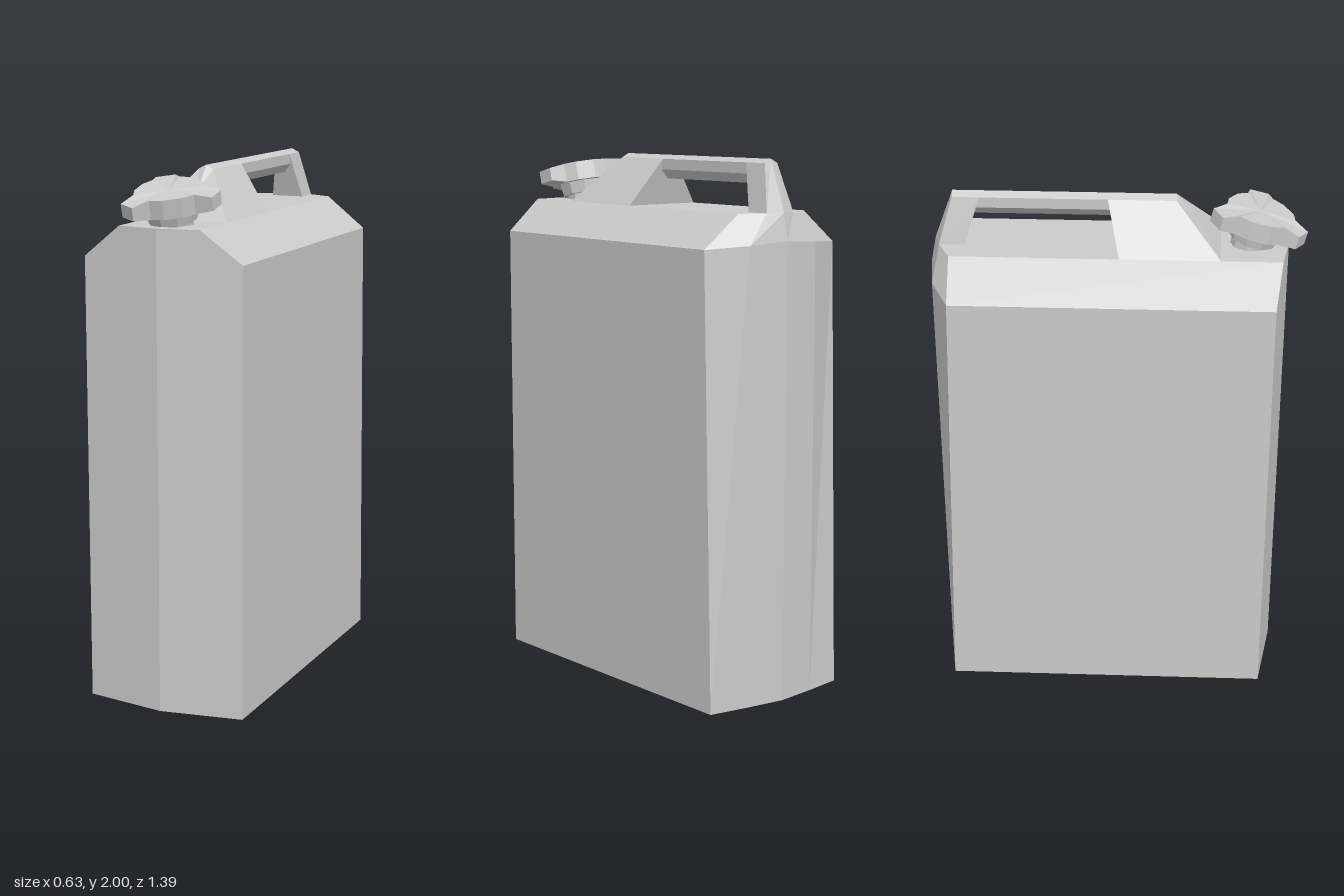
import * as THREE from 'three';

const material = new THREE.MeshStandardMaterial({ color: 0xcccccc, flatShading: true });

// Completes a half outline (x >= 0) with its mirror image.
const mirror = (half) => [
  ...half,
  ...half.filter((p) => p[0] > 0).reverse().map(([x, y, z]) => [-x, y, z]),
];

// Skins a series of closed rings and caps both ends; rings run
// counter-clockwise as seen from beyond the last one.
function loft(name, rings) {
  const pos = [];
  const tri = (a, b, c) => pos.push(...a, ...b, ...c);
  const n = rings[0].length;
  const centre = (ring) => [0, 1, 2].map((k) => ring.reduce((s, p) => s + p[k], 0) / n);
  const first = rings[0], last = rings[rings.length - 1];
  const c0 = centre(first), c1 = centre(last);
  for (let i = 0; i < n; i++) {
    const j = (i + 1) % n;
    for (let r = 0; r < rings.length - 1; r++) {
      const a = rings[r], b = rings[r + 1];
      tri(a[i], a[j], b[j]);
      tri(a[i], b[j], b[i]);
    }
    tri(c0, first[j], first[i]);
    tri(c1, last[i], last[j]);
  }
  const geo = new THREE.BufferGeometry();
  geo.setAttribute('position', new THREE.Float32BufferAttribute(pos, 3));
  geo.computeVertexNormals();
  const mesh = new THREE.Mesh(geo, material);
  mesh.name = name;
  return mesh;
}

function cylinder(name, rTop, rBottom, height, y) {
  const mesh = new THREE.Mesh(new THREE.CylinderGeometry(rTop, rBottom, height, 10), material);
  mesh.name = name;
  mesh.position.y = y;
  return mesh;
}

// Outline of the screw cap: a round core with three grip lobes.
function capOutline(y, tipY) {
  const ring = [];
  for (let k = 0; k < 3; k++) {
    const steps = [[-22, 0.13], [-11, 0.188, 1], [11, 0.188, 1], [22, 0.13], [44, 0.127], [76, 0.127]];
    for (const [deg, r, tip] of steps) {
      const a = THREE.MathUtils.degToRad(deg + k * 120);
      ring.push([r * Math.cos(a), tip ? tipY : y, -r * Math.sin(a)]);
    }
  }
  return ring;
}

export function createModel() {
  const model = new THREE.Group();

  // Tank: bowed front and back, shoulders sloping in to a flat deck
  model.add(loft('tank', [
    mirror([[0, 0, 0.635], [0.315, 0, 0.585], [0.315, 0, -0.645], [0.16, 0, -0.67], [0, 0, -0.69]]),
    mirror([[0, 1.69, 0.635], [0.315, 1.69, 0.585], [0.315, 1.69, -0.6], [0.16, 1.7, -0.67], [0, 1.71, -0.69]]),
    mirror([[0, 1.81, 0.635], [0.16, 1.81, 0.61], [0.16, 1.81, -0.605], [0.065, 1.81, -0.65], [0, 1.81, -0.67]]),
  ]));

  // Handle: solid front ramp, ridged grip bar, flared rear post
  const handle = new THREE.Group();
  handle.name = 'handle';
  const ramp = (zLow, zHigh) => mirror([[0.16, 1.81, zLow], [0.03, 1.985, zHigh], [0, 2, zHigh]]);
  handle.add(loft('handleRamp', [ramp(0.015, -0.03), ramp(0.385, 0.22)]));
  const bar = (zLow, zHigh) => mirror([[0, 1.91, zLow], [0.03, 1.945, zLow], [0.03, 1.985, zHigh], [0, 2, zHigh]]);
  handle.add(loft('handleBar', [bar(-0.57, -0.6), bar(-0.02, -0.02)]));
  handle.add(loft('handlePost', [
    mirror([[0.065, 1.81, -0.555], [0.065, 1.81, -0.65], [0, 1.81, -0.67]]),
    mirror([[0.03, 1.985, -0.5], [0.03, 1.985, -0.6], [0, 2, -0.6]]),
  ]));
  model.add(handle);

  // Spout with its cap, tilted towards the front
  const spout = new THREE.Group();
  spout.name = 'spout';
  spout.position.set(0, 1.905, 0.52);
  spout.rotation.x = 0.25;
  spout.add(loft('cap', [capOutline(-0.035, -0.025), capOutline(0.037, 0.025)]));
  spout.add(cylinder('capSkirt', 0.1, 0.09, 0.05, -0.055));
  spout.add(cylinder('neck', 0.075, 0.075, 0.1, -0.1));
  model.add(spout);

  return model;
}
